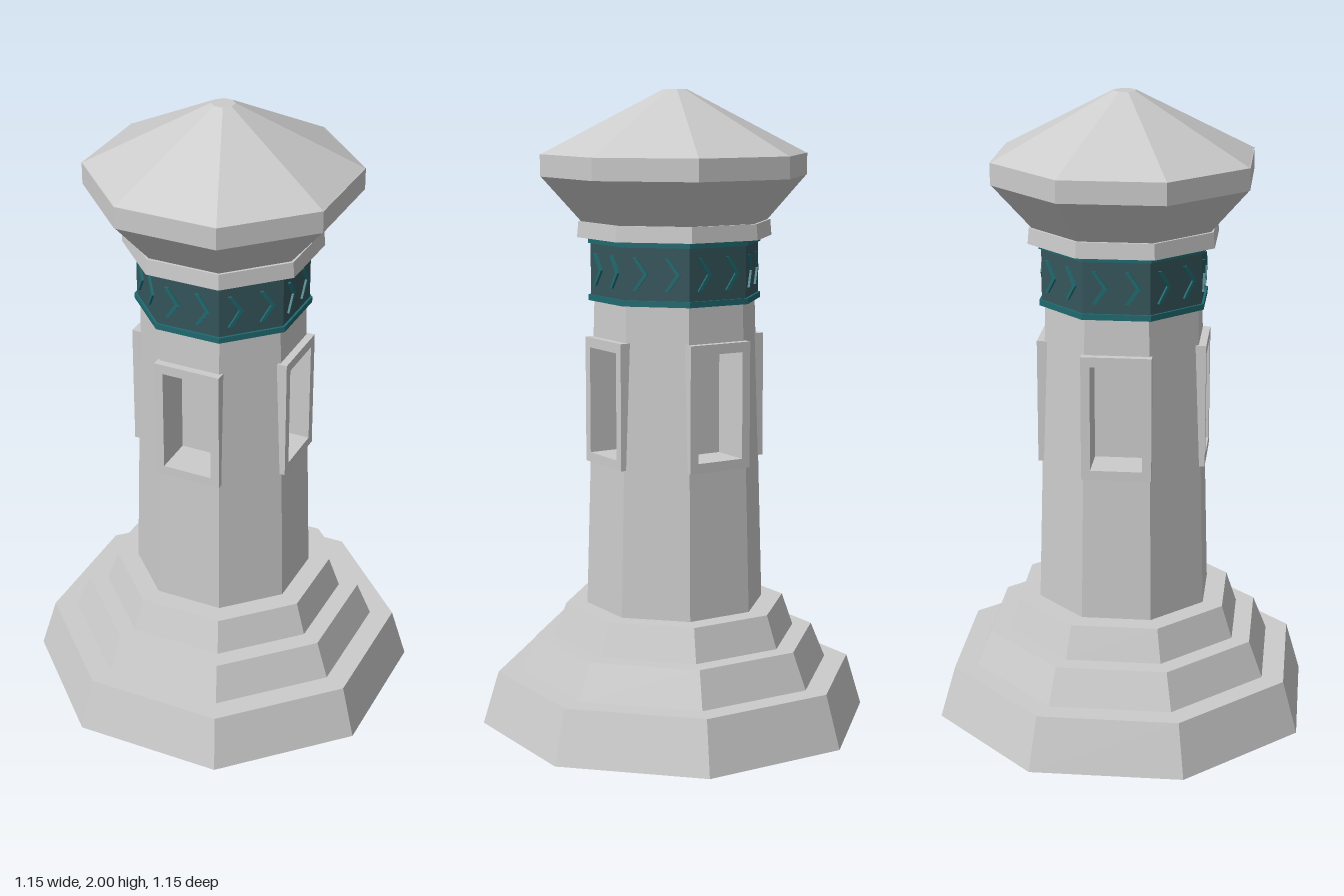
import * as THREE from 'three';

const SIDES = 8;
const STEP = (Math.PI * 2) / SIDES;
const TO_RADIUS = 1 / Math.cos(STEP / 2);
const HALF_EDGE = Math.tan(STEP / 2);

const stone = new THREE.MeshStandardMaterial({ color: 0xcccccc, flatShading: true });
const bandMat = new THREE.MeshStandardMaterial({ color: 0x35565c, flatShading: true });
const trimMat = new THREE.MeshStandardMaterial({ color: 0x1f6a70, flatShading: true });

function addMesh(parent, name, geometry, material = stone) {
  const flat = geometry.index ? geometry.toNonIndexed() : geometry;
  flat.computeVertexNormals();
  const mesh = new THREE.Mesh(flat, material);
  mesh.name = name;
  parent.add(mesh);
  return mesh;
}

// Octagonal block, sized by the distance from the axis to its flat sides
function tier(parent, name, y0, y1, bottom, top, material) {
  const g = new THREE.CylinderGeometry(top * TO_RADIUS, bottom * TO_RADIUS, y1 - y0, SIDES);
  g.rotateY(STEP / 2).translate(0, (y0 + y1) / 2, 0);
  return addMesh(parent, name, g, material);
}

function polygon(points, Type = THREE.Shape) {
  return new Type(points.map(([x, y]) => new THREE.Vector2(x, y)));
}

function rect(halfW, y0, y1, Type) {
  return polygon([[-halfW, y0], [halfW, y0], [halfW, y1], [-halfW, y1]], Type);
}

// Group turned to face one side of the octagon
function sideGroup(parent, name, i) {
  const g = new THREE.Group();
  g.name = name;
  g.rotation.y = i * STEP;
  parent.add(g);
  return g;
}

export function createModel() {
  const model = new THREE.Group();
  model.name = 'stonePillar';

  // Stepped base
  tier(model, 'baseLowerStep', 0, 0.167, 0.573, 0.527);
  tier(model, 'baseMiddleStep', 0.167, 0.28, 0.458, 0.415);
  tier(model, 'baseUpperStep', 0.28, 0.383, 0.358, 0.325);

  // Tapered shaft: one panel per side, with an opening in every second one
  const y0 = 0.38, y1 = 1.36, a0 = 0.262, a1 = 0.235;
  const lean = Math.atan((a0 - a1) / (y1 - y0));
  const height = Math.hypot(y1 - y0, a0 - a1);
  const shaft = new THREE.Group();
  shaft.name = 'shaft';
  model.add(shaft);
  for (let i = 0; i < SIDES; i++) {
    const side = sideGroup(shaft, 'shaftSide', i);
    const w0 = a0 * HALF_EDGE, w1 = a1 * HALF_EDGE;
    const panel = polygon([[-w0, 0], [w0, 0], [w1, height], [-w1, height]]);
    const niche = i % 2 === 0;
    if (niche) panel.holes.push(rect(0.085, 0.49, 0.83, THREE.Path));
    const g = new THREE.ShapeGeometry(panel);
    g.rotateX(-lean).translate(0, y0, a0);
    addMesh(side, 'shaftPanel', g);
    if (!niche) continue;

    // Raised frame, whose inner walls run back into the niche
    const frame = rect(0.108, 0.845, 1.238);
    frame.holes.push(rect(0.08, 0.875, 1.207, THREE.Path));
    const frameGeo = new THREE.ExtrudeGeometry(frame, { depth: 0.132, bevelEnabled: false });
    frameGeo.translate(0, 0, 0.13);
    addMesh(side, 'nicheFrame', frameGeo);
    const back = new THREE.BoxGeometry(0.18, 0.35, 0.01);
    back.translate(0, 1.041, 0.127);
    addMesh(side, 'nicheBack', back);
  }

  // Coloured band with rims and raised chevron ornament
  const band = new THREE.Group();
  band.name = 'band';
  model.add(band);
  tier(band, 'bandCore', 1.355, 1.548, 0.245, 0.245, bandMat);
  tier(band, 'bandLowerRim', 1.352, 1.37, 0.252, 0.252, trimMat);
  tier(band, 'bandUpperRim', 1.53, 1.548, 0.252, 0.252, trimMat);
  const chevron = polygon([
    [-0.024, -0.05], [-0.012, -0.05], [0.024, 0], [-0.012, 0.05], [-0.024, 0.05], [0.01, 0],
  ]);
  for (let i = 0; i < SIDES; i++) {
    const side = sideGroup(band, 'bandSide', i);
    for (const x of [-0.05, 0.05]) {
      const g = new THREE.ExtrudeGeometry(chevron, { depth: 0.012, bevelEnabled: false });
      g.translate(x, 1.45, 0.24);
      addMesh(side, 'bandChevron', g, trimMat);
    }
  }

  // Collar, flared cap and pointed roof
  tier(model, 'collar', 1.548, 1.597, 0.284, 0.28);
  tier(model, 'capFlare', 1.597, 1.735, 0.272, 0.386);
  tier(model, 'capRim', 1.735, 1.803, 0.388, 0.388);
  tier(model, 'roof', 1.803, 2, 0.386, 0.033);

  return model;
}
